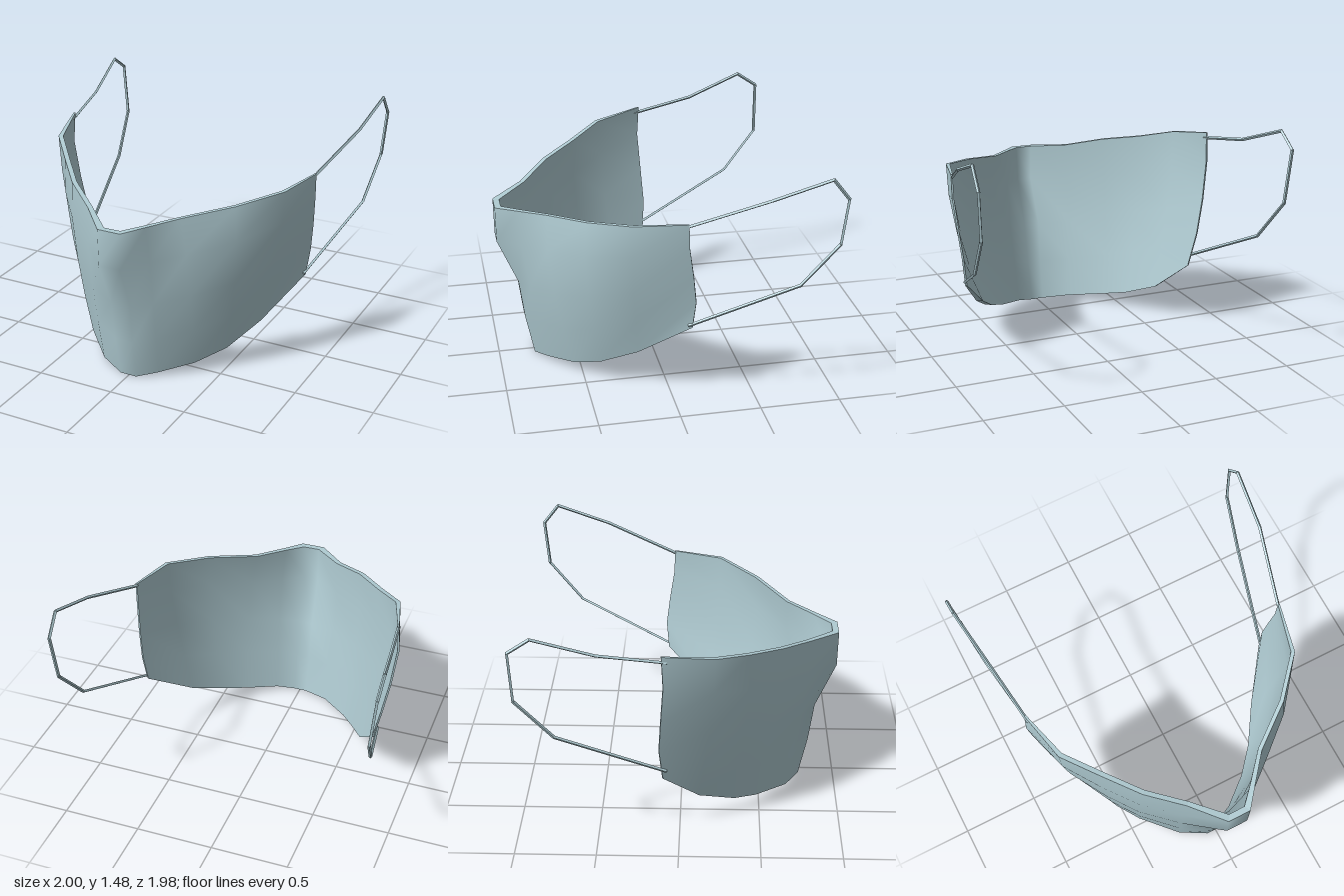
import * as THREE from 'three';

const fabric = new THREE.MeshStandardMaterial({ color: 0xb0ccd3 });
fabric.name = 'pale blue fabric';

// Columns across the mask: bottom xyz, top xyz, outward bulge, thickness, extra hem thickness
const COLUMNS = [
  [-0.77, 0.41, -0.10, -0.885, 1.31, -0.10, 0.04, 0.012, 0],
  [-0.65, 0.21, 0.12, -0.81, 1.26, 0.21, 0.03, 0.03, 0],
  [-0.53, 0.11, 0.34, -0.64, 1.20, 0.41, 0.035, 0.03, 0],
  [-0.43, 0.07, 0.48, -0.46, 1.15, 0.62, 0.035, 0.03, 0],
  [-0.23, 0.02, 0.68, -0.25, 1.09, 0.79, 0.025, 0.03, 0],
  [-0.06, 0.0, 0.77, -0.07, 1.06, 0.985, 0, 0.045, 0],
  [0.05, 0.0, 0.77, 0.08, 1.06, 0.985, 0, 0.045, 0],
  [0.17, 0.027, 0.70, 0.18, 1.072, 0.86, 0.025, 0.03, 0],
  [0.35, 0.07, 0.56, 0.32, 1.09, 0.69, 0.06, 0.025, 0.01],
  [0.50, 0.14, 0.41, 0.58, 1.14, 0.49, 0.05, 0.025, 0.025],
  [0.63, 0.26, 0.19, 0.79, 1.185, 0.25, 0.03, 0.025, 0.02],
  [0.80, 0.49, -0.11, 0.86, 1.20, -0.07, 0.012, 0.012, 0],
];
const ROWS = [0, 0.25, 0.5, 0.78, 1];
const SIDE_SHAPE = [0, 0.6, 0.95, 0.9, 0];
const NOSE_SHAPE = [0, 0, -0.02, 0.045, 0];
const EDGE_SHAPE = [0, -0.03, -0.02, 0, 0];

// Horizontal outward direction at column i of one row
function outward(row, i) {
  const a = row[Math.max(i - 1, 0)], b = row[Math.min(i + 1, row.length - 1)];
  return new THREE.Vector3(-(b.z - a.z), 0, b.x - a.x).normalize();
}

function maskGrids() {
  const outer = ROWS.map((t, j) => {
    const base = COLUMNS.map((c) => new THREE.Vector3(c[0], c[1], c[2])
      .lerp(new THREE.Vector3(c[3], c[4], c[5]), t));
    return base.map((p, i) => {
      const q = p.clone().addScaledVector(outward(base, i), COLUMNS[i][6] * SIDE_SHAPE[j]);
      if (i === 5 || i === 6) q.z += NOSE_SHAPE[j];
      if (i === 0 || i === base.length - 1) q.z += EDGE_SHAPE[j];
      return q;
    });
  });
  const inner = outer.map((row, j) => row.map((p, i) => {
    const depth = COLUMNS[i][7] + (j === 0 ? COLUMNS[i][8] : 0);
    return p.clone().addScaledVector(outward(row, i), -depth);
  }));
  return { outer, inner };
}

// Smooth sheet through a grid of points
function sheet(grid, flip) {
  const n = grid[0].length, index = [];
  for (let j = 0; j < grid.length - 1; j++) {
    for (let i = 0; i < n - 1; i++) {
      const a = j * n + i, b = a + 1, c = b + n, d = a + n;
      if (flip) index.push(a, c, b, a, d, c);
      else index.push(a, b, c, a, c, d);
    }
  }
  const g = new THREE.BufferGeometry().setFromPoints(grid.flat());
  g.setIndex(index);
  g.computeVertexNormals();
  return g;
}

// Walk round the border of a grid, anticlockwise from the front
function border(grid) {
  const last = grid.length - 1, n = grid[0].length;
  return [
    ...grid[0],
    ...grid.slice(1, last).map((r) => r[n - 1]),
    ...[...grid[last]].reverse(),
    ...grid.slice(1, last).map((r) => r[0]).reverse(),
  ];
}

// Flat-shaded rim joining the outer and inner sheets
function rim(outer, inner) {
  const a = border(outer), b = border(inner), pts = [];
  a.forEach((p, i) => {
    const k = (i + 1) % a.length;
    pts.push(p, b[i], b[k], p, b[k], a[k]);
  });
  const g = new THREE.BufferGeometry().setFromPoints(pts);
  g.computeVertexNormals();
  return g;
}

// Thin angular cord made of straight square segments
function strap(name, points) {
  const group = new THREE.Group();
  group.name = name;
  const up = new THREE.Vector3(0, 1, 0);
  for (let i = 0; i < points.length - 1; i++) {
    const a = new THREE.Vector3(...points[i]), b = new THREE.Vector3(...points[i + 1]);
    const dir = b.clone().sub(a), len = dir.length();
    const g = new THREE.CylinderGeometry(0.0105, 0.0105, len + 0.006, 4).toNonIndexed();
    g.computeVertexNormals();
    const m = new THREE.Mesh(g, fabric);
    m.name = name + 'Segment';
    m.position.copy(a).add(b).multiplyScalar(0.5);
    m.quaternion.setFromUnitVectors(up, dir.normalize());
    group.add(m);
  }
  return group;
}

export function createModel() {
  const model = new THREE.Group();
  model.name = 'faceMask';
  const add = (name, g) => {
    const m = new THREE.Mesh(g, fabric);
    m.name = name;
    model.add(m);
  };

  // Cloth body
  const { outer, inner } = maskGrids();
  add('maskOuter', sheet(outer, false));
  add('maskInner', sheet(inner, true));
  add('maskRim', rim(outer, inner));

  // Ear loops
  model.add(strap('leftEarLoop', [
    [0.85, 1.185, -0.07], [0.96, 1.355, -0.53], [0.988, 1.468, -0.88], [0.99, 1.34, -0.98],
    [0.972, 1.05, -0.953], [0.94, 0.785, -0.73], [0.795, 0.505, -0.09],
  ]));
  model.add(strap('rightEarLoop', [
    [-0.875, 1.27, -0.07], [-0.93, 1.34, -0.47], [-0.988, 1.468, -0.83], [-0.988, 1.38, -0.96],
    [-0.955, 1.05, -0.95], [-0.912, 0.785, -0.73], [-0.785, 0.475, -0.08],
  ]));
  return model;
}
